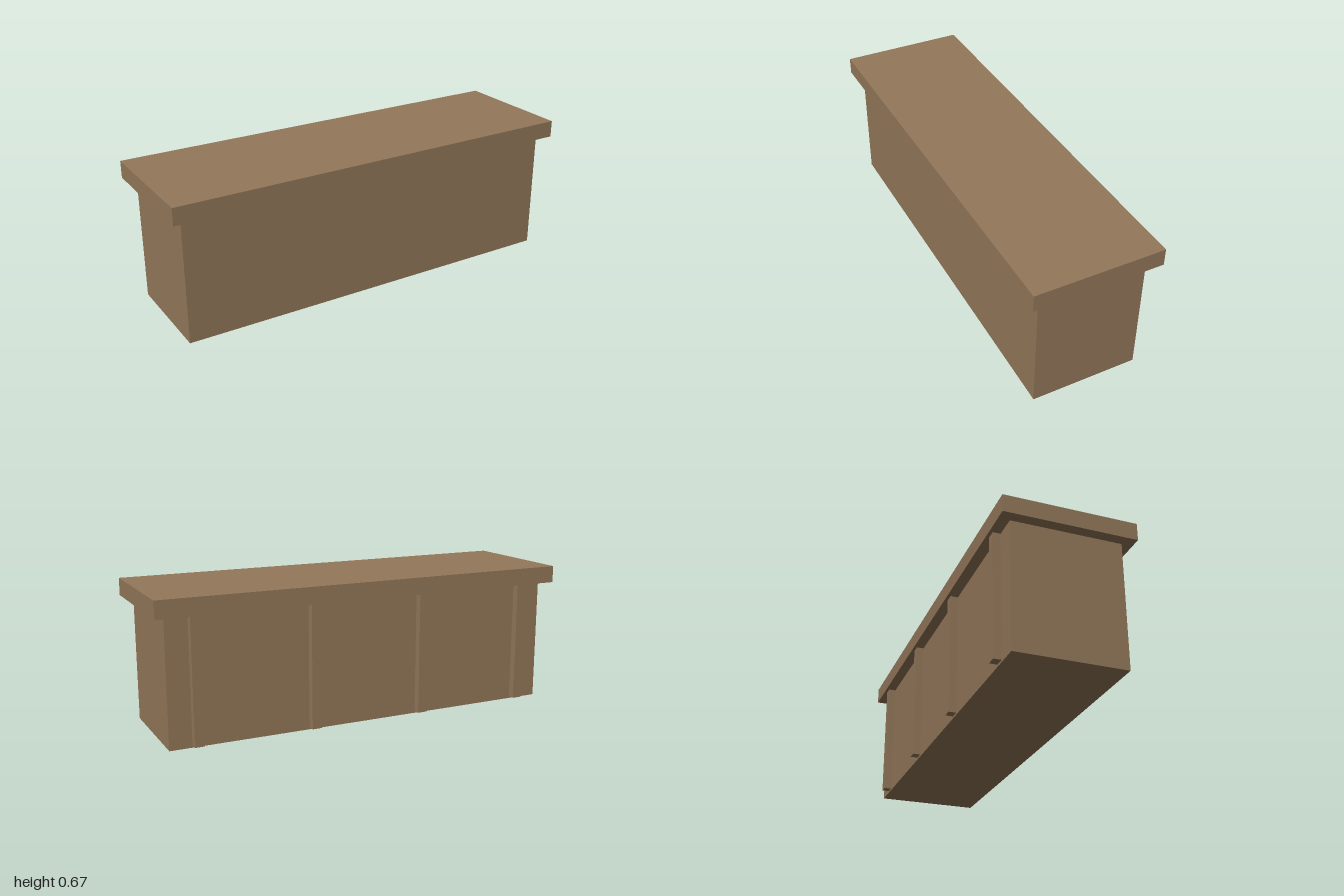
import * as THREE from 'three';

const wood = new THREE.MeshStandardMaterial({ color: 0x94785a });
wood.name = 'brown wood';

// Box given by its size, its centre in x and z, and its base height
function addBox(group, name, [w, h, d], [x, y, z]) {
  const mesh = new THREE.Mesh(new THREE.BoxGeometry(w, h, d), wood);
  mesh.name = name;
  mesh.position.set(x, y + h / 2, z);
  group.add(mesh);
}

export function createModel() {
  const counter = new THREE.Group();
  counter.name = 'counter';

  // Solid base and overhanging top
  addBox(counter, 'body', [1.9, 0.585, 0.5], [0, 0, 0]);
  addBox(counter, 'countertop', [2, 0.08, 0.6], [0, 0.585, 0]);

  // Four evenly spaced upright battens on the back
  for (let i = 0; i < 4; i++) {
    addBox(counter, 'backBatten', [0.045, 0.575, 0.035], [-0.825 + i * 0.55, 0.01, -0.2675]);
  }
  return counter;
}
